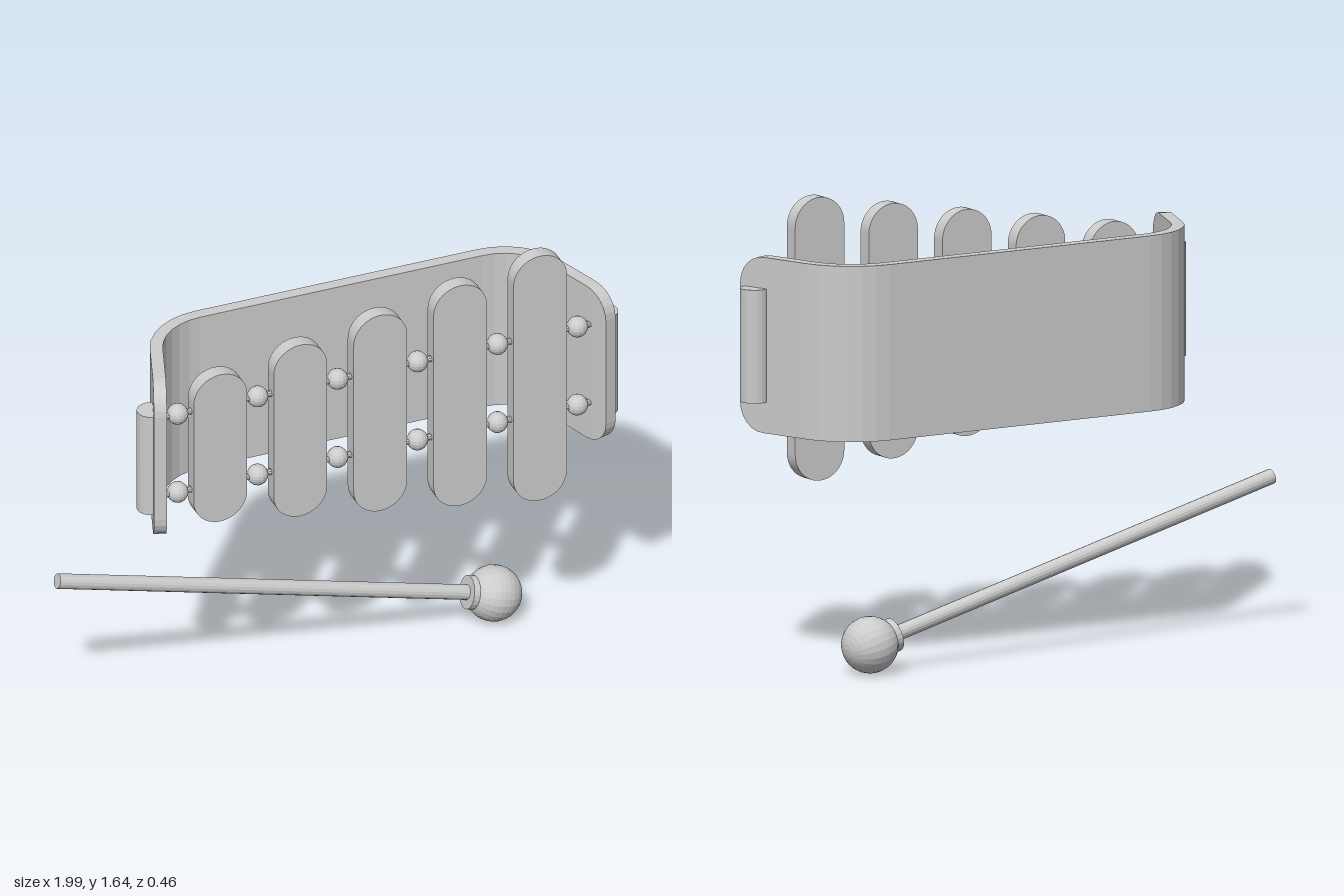
import * as THREE from 'three';

const MID_X = 0.1, MID_Y = 1.15, BAR_Z = 0.145;
const grey = new THREE.MeshStandardMaterial({ color: 0xcccccc, flatShading: true });

function add(parent, name, geometry, x = 0, y = 0, z = 0) {
  const mesh = new THREE.Mesh(geometry, grey);
  mesh.name = name;
  mesh.position.set(x, y, z);
  parent.add(mesh);
  return mesh;
}

// Bent board: a rectangular section swept along a wide U, with rounded free ends
function boardGeometry() {
  const half = 0.31, thick = 0.045, round = 0.1, bend = 0.23;
  const wall = THREE.MathUtils.degToRad(70);
  const end = new THREE.Vector2(-0.845, 0.22);
  const dir = new THREE.Vector2(Math.cos(wall), -Math.sin(wall));
  const stations = [];
  // straight side wall, its height growing along a quarter circle
  for (let i = 0; i <= 6; i++) {
    const a = (i / 6) * Math.PI / 2;
    const p = end.clone().addScaledVector(dir, round * (1 - Math.cos(a)));
    stations.push({ x: p.x, z: p.y, a: wall, h: half - round * (1 - Math.sin(a)) });
  }
  // curve into the back
  for (let i = 0; i <= 6; i++) {
    const a = wall * (1 - i / 6);
    stations.push({ x: -0.53 - bend * Math.sin(a), z: 0.02 - bend * Math.cos(a), a, h: half });
  }
  // mirrored other half
  stations.push(...stations.map(s => ({ ...s, x: -s.x, a: -s.a })).reverse());

  const positions = [], index = [];
  for (const s of stations) {
    const ox = -Math.sin(s.a) * thick / 2, oz = -Math.cos(s.a) * thick / 2;
    positions.push(
      s.x + ox, s.h, s.z + oz, s.x + ox, -s.h, s.z + oz,
      s.x - ox, -s.h, s.z - oz, s.x - ox, s.h, s.z - oz);
  }
  const last = (stations.length - 1) * 4;
  for (let i = 0; i < last; i += 4) {
    for (let k = 0; k < 4; k++) {
      const n = (k + 1) % 4;
      index.push(i + k, i + 4 + k, i + 4 + n, i + k, i + 4 + n, i + n);
    }
  }
  index.push(0, 1, 2, 0, 2, 3, last, last + 2, last + 1, last, last + 3, last + 2);
  const g = new THREE.BufferGeometry();
  g.setAttribute('position', new THREE.Float32BufferAttribute(positions, 3));
  g.setIndex(index);
  g.computeVertexNormals();
  return g;
}

// Tone bar with half-round ends
function barGeometry(length) {
  const r = 0.1, s = length / 2 - r, depth = 0.055;
  const shape = new THREE.Shape();
  shape.absarc(0, s, r, 0, Math.PI);
  shape.absarc(0, -s, r, Math.PI, Math.PI * 2);
  shape.closePath();
  return new THREE.ExtrudeGeometry(shape, { depth, bevelEnabled: false, curveSegments: 16 })
    .translate(0, 0, -depth / 2);
}

export function createModel() {
  const model = new THREE.Group();
  model.name = 'chimeWithMallet';

  add(model, 'backBoard', boardGeometry(), MID_X, MID_Y, 0);

  // upright grips on both side walls
  for (const side of [-1, 1]) {
    add(model, side > 0 ? 'leftGrip' : 'rightGrip',
      new THREE.CylinderGeometry(0.05, 0.05, 0.4, 20), MID_X + side * 0.85, MID_Y, BAR_Z);
  }

  // tone bars, longer towards the left
  const bars = new THREE.Group();
  bars.name = 'toneBars';
  for (let i = 0; i < 5; i++) {
    add(bars, 'toneBar', barGeometry(0.6 + i * 0.1), -0.5 + i * 0.3, MID_Y, BAR_Z);
  }
  model.add(bars);

  // two threaded rods with spacer beads
  for (const y of [0.99, 1.31]) {
    const string = new THREE.Group();
    string.name = y > MID_Y ? 'upperString' : 'lowerString';
    add(string, 'rod', new THREE.CylinderGeometry(0.012, 0.012, 1.6, 10), MID_X, y, BAR_Z)
      .rotation.z = Math.PI / 2;
    for (let i = 0; i < 6; i++) {
      add(string, 'bead', new THREE.SphereGeometry(0.038, 14, 10), -0.65 + i * 0.3, y, BAR_Z);
    }
    model.add(string);
  }

  // mallet, built along its own y axis with the head at the origin
  const mallet = new THREE.Group();
  mallet.name = 'mallet';
  add(mallet, 'malletHead', new THREE.SphereGeometry(0.1, 24, 16));
  add(mallet, 'malletCollar', new THREE.CylinderGeometry(0.06, 0.06, 0.06, 20), 0, 0.073, 0);
  add(mallet, 'malletStick', new THREE.CylinderGeometry(0.027, 0.027, 1.65, 16), 0, 0.87, 0);
  mallet.position.set(0.65, 0.105, -0.133);
  mallet.rotation.z = THREE.MathUtils.degToRad(75);
  model.add(mallet);

  return model;
}
